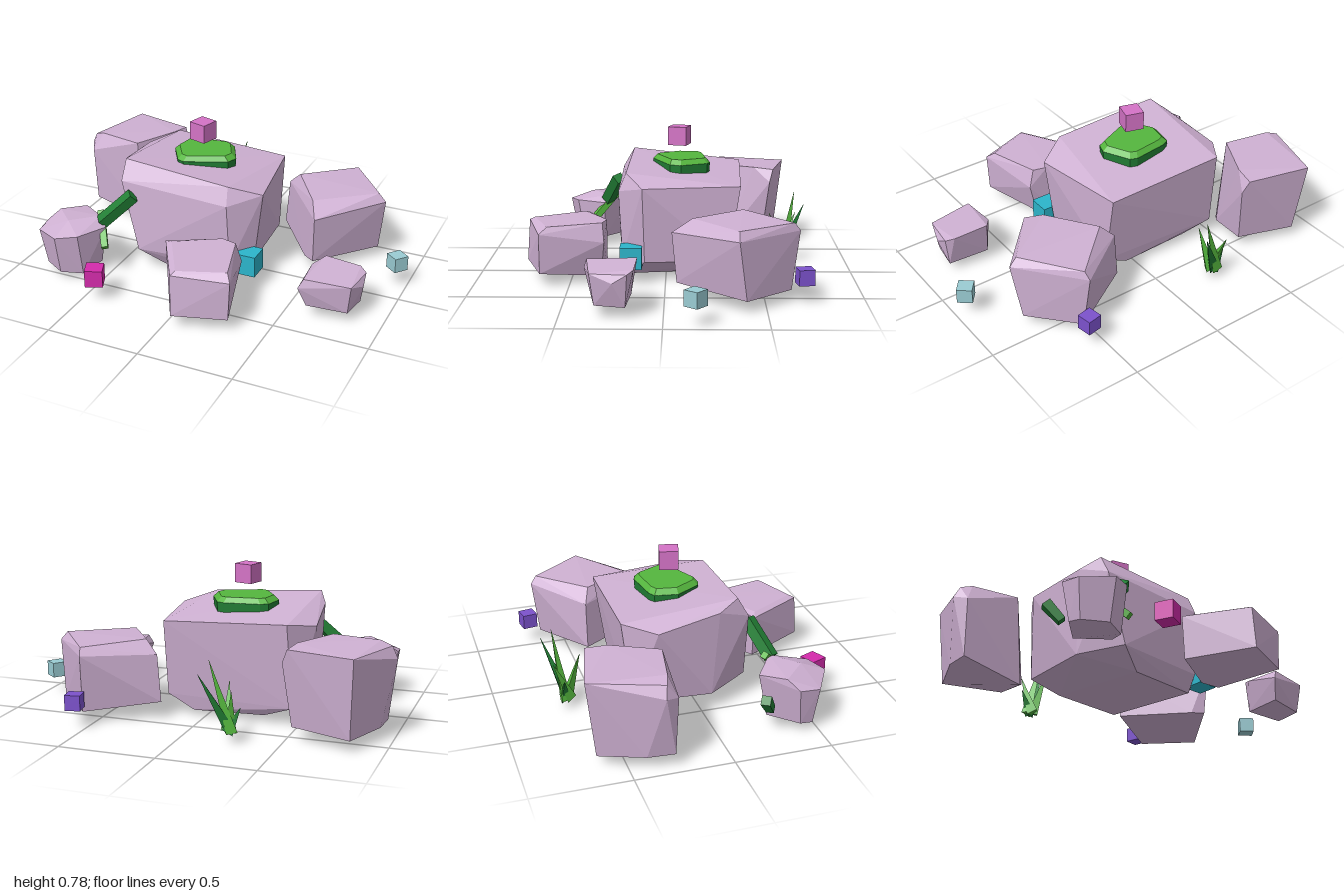
import * as THREE from 'three';
import { ConvexGeometry } from 'three/addons/geometries/ConvexGeometry.js';

const mat = (name, color) => {
  const m = new THREE.MeshStandardMaterial({ color });
  m.name = name;
  return m;
};

export function createModel() {
  const group = new THREE.Group();
  const stone = mat('lilac stone', 0xcfb1d3);
  const leaf = mat('leaf green', 0x55b63e);
  const darkLeaf = mat('dark green', 0x227f35);
  const pink = mat('pink', 0xd473c6);
  const magenta = mat('magenta', 0xd42bac);
  const purple = mat('purple', 0x7c52cc);
  const paleBlue = mat('pale blue', 0x9accd3);
  const teal = mat('teal', 0x2cb5cb);

  const add = (name, geometry, material) => {
    const mesh = new THREE.Mesh(geometry, material);
    mesh.name = name;
    group.add(mesh);
    return mesh;
  };
  // Faceted solid around a few corner points
  const hull = (name, points, material = stone) =>
    add(name, new ConvexGeometry(points.map(p => new THREE.Vector3(...p))), material);
  // Tapered faceted rod between two points
  const rod = (name, from, to, r0, r1, sides, material) => {
    const a = new THREE.Vector3(...from), b = new THREE.Vector3(...to);
    const dir = b.clone().sub(a);
    const geo = new THREE.CylinderGeometry(r1, r0, dir.length(), sides).toNonIndexed();
    geo.computeVertexNormals();
    const mesh = add(name, geo, material);
    mesh.position.copy(a).add(b).multiplyScalar(0.5);
    mesh.quaternion.setFromUnitVectors(new THREE.Vector3(0, 1, 0), dir.normalize());
  };
  const cube = (name, size, pos, turn, material) => {
    const mesh = add(name, new THREE.BoxGeometry(size, size, size), material);
    mesh.position.set(...pos);
    mesh.rotation.y = turn;
  };

  // Large central boulder
  hull('mainBoulder', [
    [-0.48, 0.605, 0.19], [0.12, 0.565, 0.21], [0.28, 0.51, 0.12], [0.2, 0.51, -0.39],
    [-0.46, 0.54, -0.41], [-0.57, 0.51, -0.25], [-0.53, 0.56, 0.08],
    [-0.48, 0.5, 0.25], [0.13, 0.47, 0.25],
    [-0.38, 0.12, 0.27], [0.14, 0.12, 0.23], [0.23, 0.11, 0.11], [0.2, 0.11, -0.33],
    [-0.48, 0.1, -0.36], [-0.51, 0.1, 0.05],
    [-0.25, 0.03, 0.21], [0.13, 0.025, 0.19], [0.06, 0.03, -0.32], [-0.32, 0.04, -0.32],
  ]);

  // Surrounding boulders
  hull('backRightBoulder', [
    [-0.86, 0.47, -0.69], [-0.52, 0.47, -0.61], [-0.49, 0.4, -0.59], [-0.54, 0.48, -0.5],
    [-0.66, 0.48, -0.26], [-0.91, 0.48, -0.31], [-0.97, 0.46, -0.33], [-1.0, 0.4, -0.34],
    [-0.96, 0.38, -0.27], [-0.95, 0.07, -0.28], [-0.62, 0.0, -0.26], [-0.56, 0.04, -0.33],
    [-0.53, 0.07, -0.55], [-0.84, 0.06, -0.64], [-0.94, 0.07, -0.42],
  ]);
  hull('backLeftBoulder', [
    [0.51, 0.34, -0.035], [0.46, 0.4, -0.14], [0.8, 0.36, -0.36], [0.76, 0.405, -0.36],
    [0.55, 0.4, -0.64], [0.54, 0.36, -0.67], [0.22, 0.34, -0.43], [0.29, 0.41, -0.4],
    [0.5, 0.08, -0.06], [0.44, 0.08, -0.1], [0.76, 0.06, -0.4], [0.55, 0.06, -0.63],
    [0.2, 0.09, -0.43], [0.5, 0.05, -0.3],
  ]);
  hull('frontBoulder', [
    [-0.09, 0.315, 0.44], [0.14, 0.32, 0.31], [0.22, 0.32, 0.33], [0.3, 0.315, 0.61],
    [0.06, 0.315, 0.7], [0.045, 0.3, 0.73], [0.33, 0.28, 0.65], [-0.135, 0.3, 0.42],
    [0.05, 0.08, 0.745], [0.32, 0.07, 0.65], [-0.12, 0.07, 0.42], [0.2, 0.03, 0.34],
    [0.11, 0.04, 0.31], [0.25, 0.22, 0.32],
  ]);
  hull('leftSmallRock', [
    [0.59, 0.22, 0.2], [0.64, 0.245, 0.13], [0.83, 0.235, 0.14], [0.87, 0.22, 0.17],
    [0.88, 0.18, 0.24], [0.85, 0.22, 0.35], [0.61, 0.23, 0.38], [0.585, 0.18, 0.395],
    [0.62, 0.07, 0.36], [0.83, 0.06, 0.33], [0.85, 0.055, 0.18], [0.63, 0.06, 0.16],
  ]);
  hull('frontRightRock', [
    [-0.72, 0.29, 0.22], [-0.82, 0.3, 0.33], [-0.87, 0.25, 0.38], [-0.86, 0.24, 0.49],
    [-0.71, 0.26, 0.58], [-0.6, 0.27, 0.53], [-0.52, 0.27, 0.37], [-0.57, 0.31, 0.33],
    [-0.7, 0.31, 0.45], [-0.84, 0.05, 0.4], [-0.83, 0.04, 0.47], [-0.71, 0.04, 0.54],
    [-0.6, 0.03, 0.49], [-0.55, 0.06, 0.37], [-0.71, 0.05, 0.27],
  ]);

  // Moss cushion: dark rim with a bright crown
  const mossOutline = [
    [-0.3, -0.19], [-0.26, -0.21], [-0.07, -0.235], [-0.03, -0.22], [0.04, -0.08],
    [0.02, -0.02], [-0.2, 0.075], [-0.24, 0.06], [-0.32, -0.07],
  ];
  const ring = (y, s) => mossOutline.map(([x, z]) => [-0.14 + (x + 0.14) * s, y, -0.08 + (z + 0.08) * s]);
  hull('mossRim', [...ring(0.53, 0.97), ...ring(0.591, 1)], darkLeaf);
  hull('mossCrown', [...ring(0.59, 1), ...ring(0.617, 0.84)], leaf);

  // Stems leaning between the rocks
  rod('leaningStem', [-0.555, 0.285, 0.35], [-0.4, 0.44, 0.275], 0.04, 0.04, 4, darkLeaf);
  rod('thinShoot', [-0.585, 0.32, 0.3], [-0.495, 0.18, 0.43], 0.025, 0.025, 4, leaf);
  rod('shortStem', [-0.835, 0.21, 0.215], [-0.775, 0.12, 0.265], 0.035, 0.028, 4, darkLeaf);

  // Grass tuft at the back
  const tips = [[-0.16, 0.41, -0.7], [-0.12, 0.35, -0.75], [-0.28, 0.27, -0.72], [-0.31, 0.18, -0.67], [-0.22, 0.28, -0.57]];
  tips.forEach((tip, i) =>
    rod('grassBlade', [-0.27 + i * 0.008, 0.05, -0.665 + (i % 3) * 0.015], tip, 0.035, 0.001, 3, i % 2 ? darkLeaf : leaf));

  // Small floating cubes
  cube('pinkCube', 0.1, [-0.15, 0.727, -0.07], -0.28, pink);
  cube('magentaCube', 0.093, [-0.44, 0.137, 0.637], 0.4, magenta);
  cube('purpleCube', 0.08, [0.563, 0.133, -0.695], 0.18, purple);
  cube('paleBlueCube', 0.08, [0.94, 0.134, -0.152], -0.68, paleBlue);
  cube('tealCube', 0.115, [0.229, 0.143, 0.18], 0, teal);

  return group;
}
